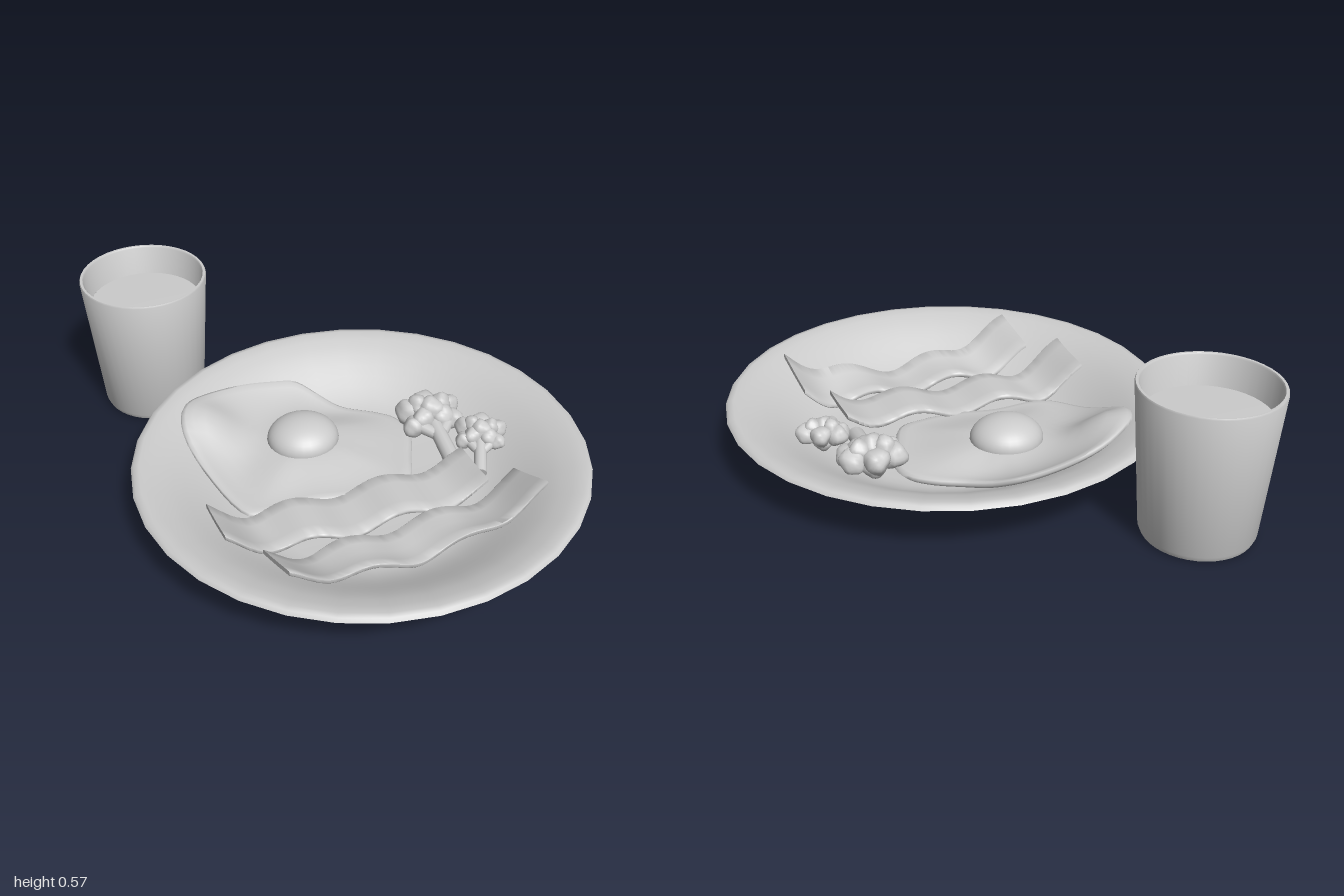
import * as THREE from 'three';
import { toCreasedNormals, mergeVertices } from 'three/addons/utils/BufferGeometryUtils.js';

const material = new THREE.MeshStandardMaterial({ color: 0xcccccc });
const PLATE = { x: 0.015, z: 0.145 };

function addMesh(parent, name, geometry) {
  const mesh = new THREE.Mesh(geometry, material);
  mesh.name = name;
  parent.add(mesh);
  return mesh;
}

function lathe(profile, segments, crease) {
  const geo = new THREE.LatheGeometry(profile.map(([r, y]) => new THREE.Vector2(r, y)), segments);
  return toCreasedNormals(geo, crease);
}

// Skin over a row of closed rings; end rings may shrink to a point
function loft(rings, crease = 0.9) {
  const n = rings[0].length, index = [];
  for (let i = 0; i < rings.length - 1; i++) {
    for (let j = 0; j < n; j++) {
      const k = (j + 1) % n;
      const a = i * n + j, b = i * n + k, c = a + n, d = b + n;
      index.push(a, b, d, a, d, c);
    }
  }
  const geo = new THREE.BufferGeometry().setFromPoints(rings.flat());
  geo.setIndex(index);
  return toCreasedNormals(geo, crease);
}

// Height of the plate's inner surface under a point
const bowl = (r) => 0.045 + 0.165 * THREE.MathUtils.smoothstep(r, 0.42, 0.82);
const plateY = (x, z) => bowl(Math.hypot(x - PLATE.x, z - PLATE.z));

function makePlate(parent) {
  const profile = [[0, 0.02], [0.47, 0.02], [0.52, 0.025], [0.555, 0.04], [0.61, 0.085], [0.67, 0.125],
    [0.75, 0.16], [0.83, 0.188], [0.85, 0.2], [0.84, 0.213], [0.82, 0.216]];
  for (let r = 0.78; r > 0.4; r -= 0.04) profile.push([r, bowl(r)]);
  profile.push([0, bowl(0)]);
  addMesh(parent, 'plate', lathe(profile, 32, 0.8)).position.set(PLATE.x, 0, PLATE.z);
}

function makeCup(parent) {
  const cup = new THREE.Group();
  cup.name = 'cup';
  cup.position.set(-0.62, 0, -0.75);
  addMesh(cup, 'cupWall', lathe([[0, 0.004], [0.175, 0.004], [0.197, 0.01], [0.206, 0.03], [0.25, 0.57],
    [0.247, 0.576], [0.238, 0.576], [0.234, 0.57], [0.196, 0.03], [0, 0.03]], 40, 0.7));
  addMesh(cup, 'drink', lathe([[0, 0.44], [0.224, 0.44], [0.227, 0.45], [0.22, 0.458], [0, 0.462]], 40, 0.7));
  parent.add(cup);
}

function makeEgg(parent) {
  const egg = new THREE.Group();
  egg.name = 'friedEgg';
  const yolk = new THREE.Vector3(-0.14, 0, -0.12);
  const outline = new THREE.CatmullRomCurve3([[-0.17, -0.465], [-0.32, -0.445], [-0.46, -0.39], [-0.57, -0.3],
    [-0.595, -0.17], [-0.53, 0.03], [-0.44, 0.2], [-0.37, 0.22], [-0.2, 0.2], [-0.03, 0.22], [0.1, 0.205],
    [0.2, 0.17], [0.25, 0.05], [0.295, -0.1], [0.27, -0.2], [0.2, -0.26], [0.08, -0.325], [0, -0.4],
    [-0.08, -0.46]].map(([x, z]) => new THREE.Vector3(x, 0, z)), true).getPoints(72).slice(0, -1);

  // White: drapes on the plate, thicker round the yolk and raised in one ridge
  const whiteTop = (x, z, t) => plateY(x, z) + 0.03 + 0.045 * (1 - THREE.MathUtils.smoothstep(t, 0.2, 0.95))
    + 0.055 * Math.exp(-((x + 0.48) ** 2 + (z + 0.23) ** 2) / 0.012);
  const ring = (t, drop) => outline.map((p) => {
    const q = yolk.clone().lerp(p, t);
    q.y = whiteTop(q.x, q.z, t) - drop;
    return q;
  });
  const rings = [0, 0.5, 0.97].map((t) => ring(t, 0.028));
  rings.push(ring(1, 0.018));
  for (const t of [0.99, 0.96, 0.9, 0.8, 0.7, 0.6, 0.5, 0.4, 0.3, 0.2, 0.1, 0]) rings.push(ring(t, t > 0.98 ? 0.006 : 0));
  addMesh(egg, 'eggWhite', loft(rings, 1.2));

  const dome = addMesh(egg, 'yolk', new THREE.SphereGeometry(0.14, 28, 12, 0, Math.PI * 2, 0, Math.PI / 2));
  dome.scale.set(1, 0.62, 0.95);
  dome.position.set(yolk.x, 0.12, yolk.z);
  parent.add(egg);
}

// Wavy strip from one end to the other; side is half its slanted width
function makeBacon(parent, name, from, to, side, phase, lift) {
  const section = [[-1, -0.6], [-1, 0.6], [-0.96, 1], [-0.5, 1], [0, 1], [0.5, 1], [0.96, 1],
    [1, 0.6], [1, -0.6], [0.96, -1], [0, -1], [-0.96, -1]];
  const slice = (u, size) => {
    const wave = u * Math.PI * 5.6 + phase;
    const cx = THREE.MathUtils.lerp(from[0], to[0], u);
    const cz = THREE.MathUtils.lerp(from[1], to[1], u) + 0.014 * Math.sin(wave);
    return section.map(([s, h]) => {
      const x = cx + side[0] * s * size, z = cz + side[1] * s * size;
      const y = plateY(x, z) + 0.04 + 0.022 * Math.cos(wave) + lift * u ** 6;
      return new THREE.Vector3(x, y + 0.01 * h * size, z);
    });
  };
  const rings = [slice(0, 0)];
  for (let i = 0; i <= 48; i++) rings.push(slice(i / 48, 1));
  rings.push(slice(1, 0));
  addMesh(parent, name, loft(rings));
}

// Lying floret: stem, two short branches and a lumpy crown
function makeBroccoli(parent, name, foot, crown, size) {
  const floret = new THREE.Group();
  floret.name = name;
  const start = new THREE.Vector3(...foot), end = new THREE.Vector3(...crown);
  const axis = end.clone().sub(start).normalize();
  const across = new THREE.Vector3(-axis.z, 0, axis.x);
  const up = new THREE.Vector3().crossVectors(axis, across).multiplyScalar(-1);
  if (up.y < 0) up.negate();
  const at = (a, b, c) => end.clone().addScaledVector(across, a * size).addScaledVector(axis, b * size).addScaledVector(up, c * size);

  const stalk = (label, p, q, r0, r1) => {
    const mesh = addMesh(floret, label, new THREE.CylinderGeometry(r1, r0, p.distanceTo(q), 12));
    mesh.position.copy(p).lerp(q, 0.5);
    mesh.quaternion.setFromUnitVectors(new THREE.Vector3(0, 1, 0), q.clone().sub(p).normalize());
  };
  stalk('stem', start, end, 0.033 * size, 0.03 * size);
  for (const s of [-1, 1]) stalk('branch', start.clone().lerp(end, 0.5), at(s * 0.075, -0.03, 0), 0.022 * size, 0.028 * size);

  // Sphere gently dented by a sine rule
  const lump = mergeVertices(new THREE.SphereGeometry(1, 16, 12).deleteAttribute('uv').deleteAttribute('normal'));
  const pos = lump.attributes.position, v = new THREE.Vector3();
  for (let i = 0; i < pos.count; i++) {
    v.fromBufferAttribute(pos, i);
    v.multiplyScalar(1 + 0.09 * Math.sin(4 * v.x + 1) * Math.sin(4 * v.y) + 0.07 * Math.sin(5 * v.z));
    pos.setXYZ(i, v.x, v.y, v.z);
  }
  lump.computeVertexNormals();
  const lumps = [[-0.085, -0.045, 0, 0.042], [0.085, -0.045, 0, 0.042], [-0.08, 0.035, 0, 0.05], [0.08, 0.035, 0, 0.05],
    [0, 0.07, 0, 0.05], [0, 0, 0.035, 0.052], [-0.045, 0.03, 0.04, 0.04], [0.05, 0.02, 0.035, 0.042],
    [0, 0.02, -0.03, 0.05], [0.04, -0.03, 0.02, 0.045], [-0.04, -0.03, 0.02, 0.045]];
  lumps.forEach(([a, b, c, r], i) => {
    const mesh = addMesh(floret, 'crownLump', lump);
    mesh.position.copy(at(a, b, c));
    mesh.scale.setScalar(r * size);
    mesh.rotation.set(i * 1.3, i * 2.1, 0);
  });
  parent.add(floret);
}

export function createModel() {
  const model = new THREE.Group();
  model.name = 'breakfast';
  makePlate(model);
  makeCup(model);
  makeEgg(model);
  makeBacon(model, 'baconBack', [-0.58, 0.345], [0.42, 0.275], [0.012, 0.11], 0.4, 0.05);
  makeBacon(model, 'baconFront', [-0.43, 0.61], [0.555, 0.47], [0.022, 0.098], 0.4, 0.03);
  makeBroccoli(model, 'broccoliBack', [0.385, 0.13, 0.13].map((n, i) => (i === 1 ? 0.085 : n)), [0.38, 0.125, -0.11], 1);
  makeBroccoli(model, 'broccoliFront', [0.455, 0.09, 0.25], [0.52, 0.14, 0.08], 0.78);
  return model;
}
